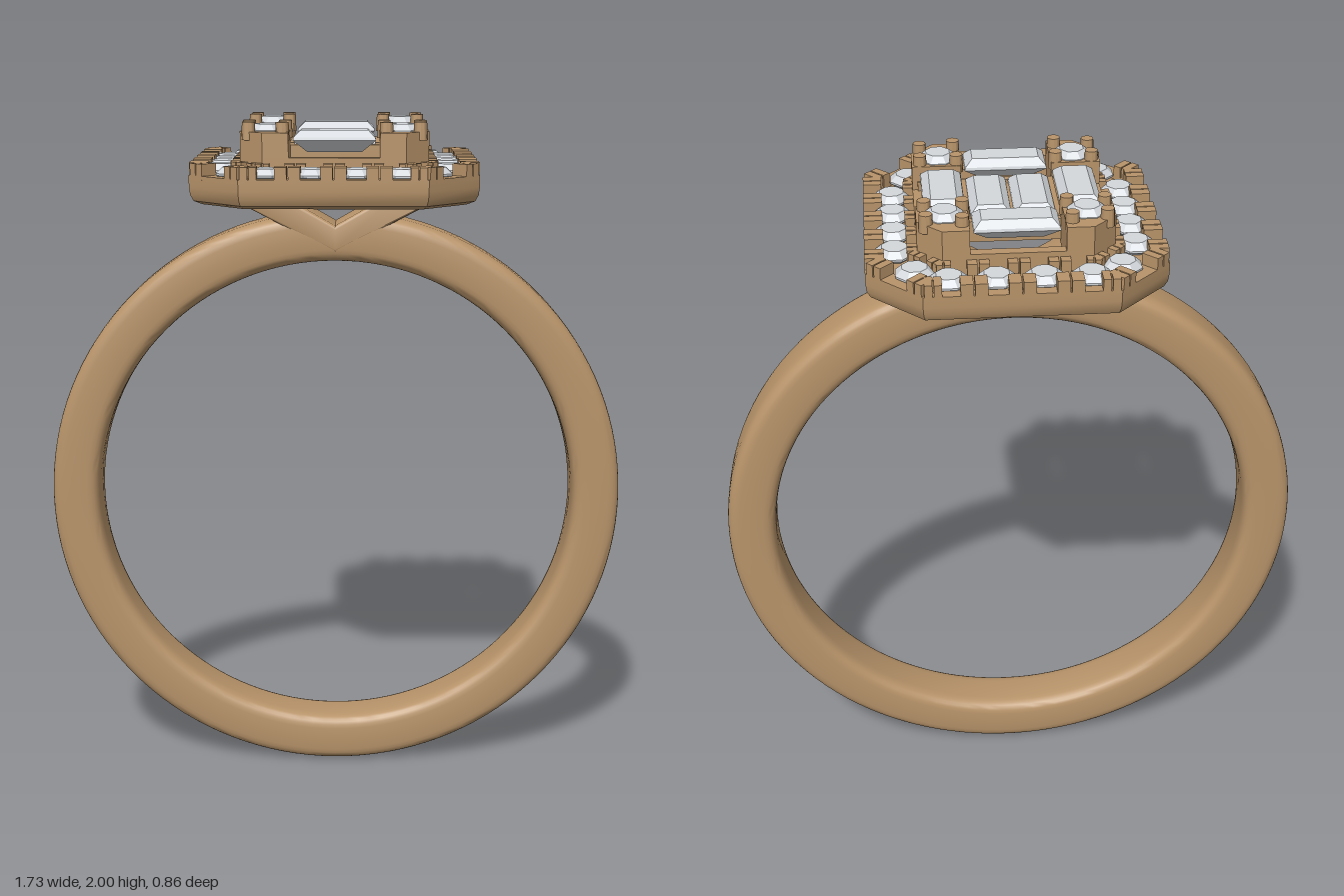
import * as THREE from 'three';
import { toCreasedNormals } from 'three/addons/utils/BufferGeometryUtils.js';

const metal = new THREE.MeshStandardMaterial({ color: 0xb8946a });
metal.name = 'rose gold';
const gem = new THREE.MeshStandardMaterial({ color: 0xd4d8dc });
gem.name = 'clear stone';

// Skin a list of equal-length loops; either join the last to the first or cap both ends
function loft(loops, closed) {
  const n = loops[0].length, m = loops.length, pos = loops.flat(2), index = [];
  for (let i = 0; i < (closed ? m : m - 1); i++) {
    for (let j = 0; j < n; j++) {
      const k = (j + 1) % n, a = i * n, b = ((i + 1) % m) * n;
      index.push(a + j, a + k, b + k, a + j, b + k, b + j);
    }
  }
  if (!closed) {
    const t = (m - 1) * n;
    for (let j = 1; j < n - 1; j++) index.push(0, j + 1, j, t, t + j, t + j + 1);
  }
  const g = new THREE.BufferGeometry();
  g.setAttribute('position', new THREE.Float32BufferAttribute(pos, 3));
  g.setIndex(index);
  return g;
}

function add(parent, name, geometry, material, x = 0, y = 0, z = 0) {
  const mesh = new THREE.Mesh(geometry, material);
  mesh.name = name;
  mesh.position.set(x, y, z);
  parent.add(mesh);
  return mesh;
}

function group(parent, name) {
  const g = new THREE.Group();
  g.name = name;
  parent.add(g);
  return g;
}

// Eight-cornered outline of the halo, inset by d at height y
function octagon(d, y) {
  const a = 0.405 - d, b = 0.43 - d, c = 0.147 - 0.586 * d;
  return [[a, b - c], [a, c - b], [a - c, -b], [c - a, -b], [-a, c - b], [-a, b - c], [c - a, b], [a - c, b]]
    .map(([x, z]) => [x, y, z]);
}

// Finger band: rounded section swept in a circle, thinned under the V strap
function bandGeometry() {
  const cy = 0.865, steps = 128, around = 32, loops = [];
  const round = v => Math.sign(v) * Math.pow(Math.abs(v), 0.45);
  for (let i = 0; i < steps; i++) {
    const t = i / steps * Math.PI * 2, c = Math.cos(t), s = Math.sin(t);
    const slope = s - 0.5 * Math.abs(c);
    const limit = slope > 0 ? 0.78 / slope : 9;
    const loop = [];
    for (let j = 0; j < around; j++) {
      const p = j / around * Math.PI * 2;
      const r = Math.min(0.792 + 0.073 * round(Math.cos(p)), limit);
      loop.push([r * c, cy + r * s, -0.083 * round(Math.sin(p))]);
    }
    loops.push(loop);
  }
  return toCreasedNormals(loft(loops, true), 0.9);
}

// Step-cut rectangular stone
function baguetteGeometry(w, d) {
  const rect = (inset, y) => {
    const a = w / 2 - inset, b = d / 2 - inset;
    return [[a, y, b], [a, y, -b], [-a, y, -b], [-a, y, b]];
  };
  return toCreasedNormals(loft([rect(0.04, -0.035), rect(0, 0), rect(0.002, 0.008), rect(0.022, 0.027)], false), 0.1);
}

// Faceted round stone with its girdle at y = 0
function roundStoneGeometry(r) {
  const profile = [[0, -0.8], [1, -0.05], [1, 0.05], [0.65, 0.36], [0, 0.36]]
    .map(([x, y]) => new THREE.Vector2(x * r, y * r));
  return toCreasedNormals(new THREE.LatheGeometry(profile, 8), 0.1);
}

export function createModel() {
  const ring = new THREE.Group();
  ring.name = 'ring';

  add(ring, 'band', bandGeometry(), metal);

  // V strap carrying the head
  const v = new THREE.Shape();
  [[0, 1.622], [0.32, 1.782], [0.18, 1.782], [0, 1.68], [-0.18, 1.782], [-0.32, 1.782]]
    .forEach(([x, y], i) => (i ? v.lineTo(x, y) : v.moveTo(x, y)));
  const strap = new THREE.ExtrudeGeometry(v, { depth: 0.142, bevelSize: 0.01, bevelThickness: 0.012, bevelSegments: 3 });
  strap.translate(0, 0, -0.071);
  add(ring, 'strap', toCreasedNormals(strap, 0.7), metal);

  // Halo tray, with rounded underside, channel, low gallery wall and open centre
  const tray = [[0.035, 1.775], [0.012, 1.785], [0.003, 1.802], [0, 1.825], [0, 1.857], [0.05, 1.857], [0.05, 1.848],
    [0.14, 1.848], [0.14, 1.905], [0.17, 1.905], [0.17, 1.775]];
  add(ring, 'haloTray', toCreasedNormals(loft(tray.map(([d, y]) => octagon(d, y)), true), 0.6), metal);

  // Halo edges: stones with split prongs on both sides of the channel
  const halo = group(ring, 'halo');
  const smallStone = roundStoneGeometry(0.055);
  const cornerGaps = [[-0.073, 0.055], [0.073, 0.055]];
  const longGaps = [[-0.231, 0.05], [-0.125, 0.075], [0, 0.075], [0.125, 0.075], [0.231, 0.05]];
  const sideGaps = [[-0.234, 0.06], [-0.117, 0.068], [0, 0.068], [0.117, 0.068], [0.234, 0.06]];
  for (let i = 0; i < 8; i++) {
    const edge = group(halo, 'haloEdge');
    edge.rotation.y = i * Math.PI / 4;
    const corner = i % 2 === 1, long = i % 4 === 0;
    const dist = corner ? 0.4865 : long ? 0.43 : 0.405;
    const shift = corner ? (i % 4 === 1 ? -0.018 : 0.018) : 0;
    const step = long ? 0.125 : 0.117;
    const stones = corner ? [0] : [-1.5, -0.5, 0.5, 1.5].map(k => k * step);
    for (const u of stones) {
      add(edge, 'haloStone', smallStone, gem, u + shift, 1.862, dist - 0.08).rotation.y = Math.PI / 8;
    }
    for (const [u, w] of corner ? cornerGaps : long ? longGaps : sideGaps) {
      for (const side of [-1, 1]) {
        const half = w / 2 - 0.004, x = shift + u + side * w / 4;
        add(edge, 'outerProng', new THREE.BoxGeometry(half, 0.045, 0.052), metal, x, 1.8675, dist - 0.026);
        const innerX = corner ? shift + u * 0.45 + side * w / 5 : x * 0.86;
        add(edge, 'innerProng', new THREE.BoxGeometry(half * 0.8, 0.045, 0.028), metal, innerX, 1.8675, dist - 0.127);
      }
    }
  }

  // Centre setting: four corner posts, each with a round stone and four prongs
  const centre = group(ring, 'centreSetting');
  const cornerStone = roundStoneGeometry(0.055);
  const prong = toCreasedNormals(new THREE.CylinderGeometry(0.018, 0.02, 0.05, 12), 0.7);
  for (const sx of [-1, 1]) {
    for (const sz of [-1, 1]) {
      const s = new THREE.Shape();
      [[0.127, 0.13], [0.265, 0.13], [0.265, 0.225], [0.2, 0.29], [0.127, 0.29]]
        .forEach(([x, z], i) => (i ? s.lineTo(x * sx, -z * sz) : s.moveTo(x * sx, -z * sz)));
      const post = new THREE.ExtrudeGeometry(s, { depth: 0.115, bevelEnabled: false });
      post.rotateX(-Math.PI / 2);
      add(centre, 'cornerPost', post, metal, 0, 1.858, 0);
      add(centre, 'cornerStone', cornerStone, gem, sx * 0.19, 1.973, sz * 0.19).rotation.y = Math.PI / 8;
      for (const [px, pz] of [[0.145, 0.25], [0.24, 0.235], [0.14, 0.15], [0.242, 0.15]]) {
        add(centre, 'cornerProng', prong, metal, sx * px, 1.975, sz * pz);
      }
    }
  }

  // Support bars between the rectangular stones
  for (const s of [-1, 1]) {
    add(centre, 'crossBar', new THREE.BoxGeometry(0.5, 0.06, 0.022), metal, 0, 1.9, s * 0.133);
    add(centre, 'dividerBar', new THREE.BoxGeometry(0.016, 0.06, 0.25), metal, s * 0.122, 1.905, 0);
  }
  add(centre, 'middleBar', new THREE.BoxGeometry(0.012, 0.05, 0.25), metal, 0, 1.895, 0);

  // Rectangular stones: four upright, with one across each end
  const upright = baguetteGeometry(0.114, 0.24), across = baguetteGeometry(0.232, 0.112);
  for (const s of [-1, 1]) {
    add(centre, 'sideBaguette', upright, gem, s * 0.186, 1.95, 0);
    add(centre, 'middleBaguette', upright, gem, s * 0.06, 1.93, 0);
    add(centre, 'endBaguette', across, gem, 0, 1.95, s * 0.201);
  }

  return ring;
}
